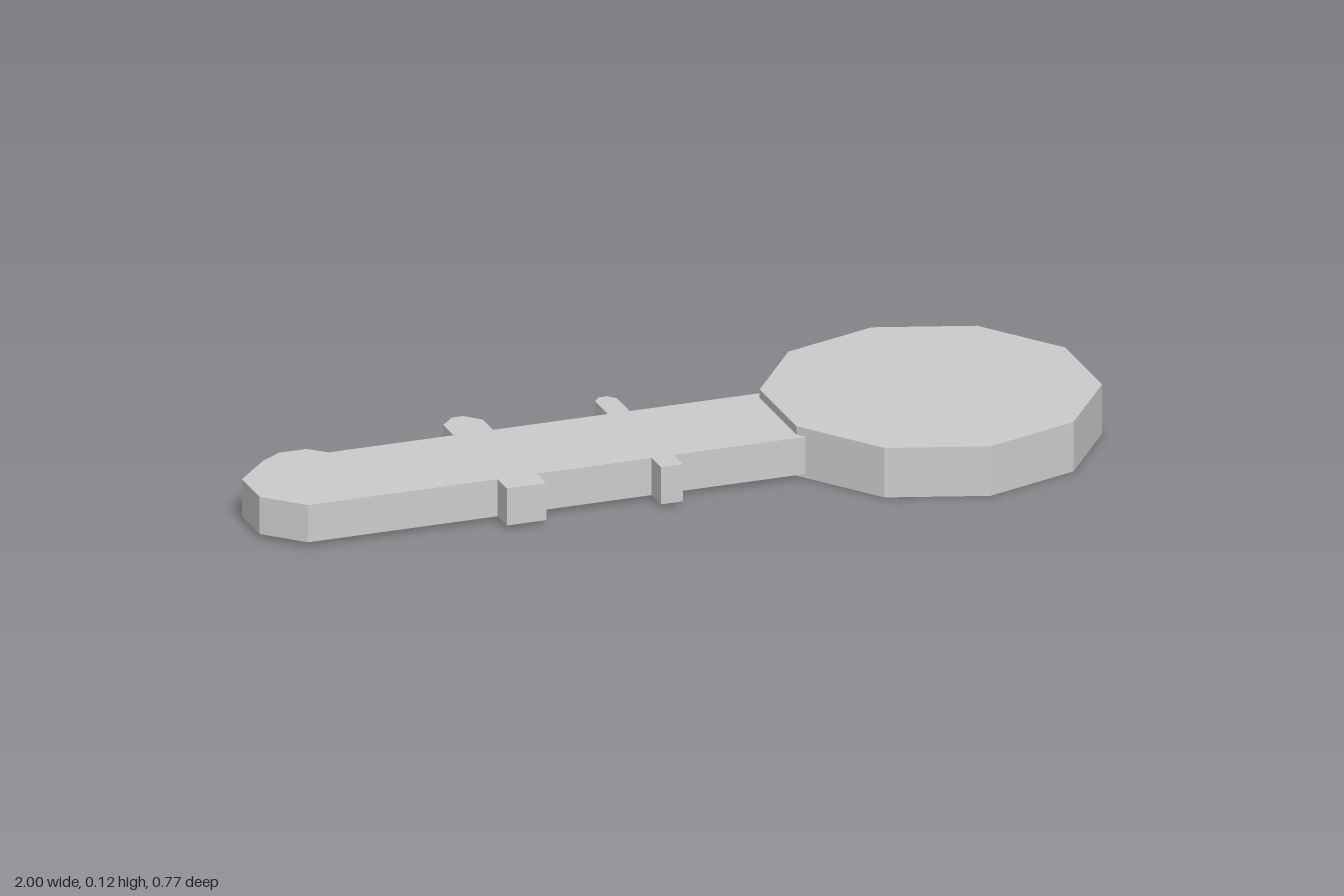
import * as THREE from 'three';

const material = new THREE.MeshStandardMaterial({ color: 0xcccccc, flatShading: true });

// Outline points are [x, distance towards the back]
function flatPlate(name, points, bottom, height) {
  const shape = new THREE.Shape(points.map(([x, y]) => new THREE.Vector2(x, y)));
  const geometry = new THREE.ExtrudeGeometry(shape, { depth: height, bevelEnabled: false });
  geometry.rotateX(-Math.PI / 2);
  geometry.translate(0, bottom, 0);
  const mesh = new THREE.Mesh(geometry, material);
  mesh.name = name;
  return mesh;
}

// Square tab along the front edge
const frontTab = (x0, x1) => [[x0, -0.14], [x0, -0.2], [x1, -0.2], [x1, -0.14]];

// Tab along the back edge with chamfered corners
const backTab = (x0, x1, tip, chamferX, chamferY) => [
  [x1, 0.145], [x1, tip - chamferY], [x1 - chamferX, tip],
  [x0 + chamferX, tip], [x0, tip - chamferY], [x0, 0.145],
];

export function createModel() {
  const group = new THREE.Group();
  group.name = 'key';

  // Shaft with its tabs and the bump near the tip, in one outline
  group.add(flatPlate('shaft', [
    [-1, -0.055], [-0.915, -0.14],
    ...frontTab(-0.46, -0.365),
    ...frontTab(-0.09, -0.037),
    [0.28, -0.14], [0.28, 0.145],
    ...backTab(-0.09, -0.037, 0.247, 0.015, 0.02),
    ...backTab(-0.46, -0.365, 0.247, 0.034, 0.035),
    [-0.76, 0.145], [-0.8, 0.182], [-0.865, 0.182], [-0.915, 0.15], [-1, 0.06],
  ], 0.01, 0.09));

  // Ten-sided head
  const head = new THREE.Mesh(new THREE.CylinderGeometry(0.386, 0.386, 0.12, 10), material);
  head.name = 'head';
  head.position.set(0.633, 0.06, 0);
  group.add(head);

  return group;
}
